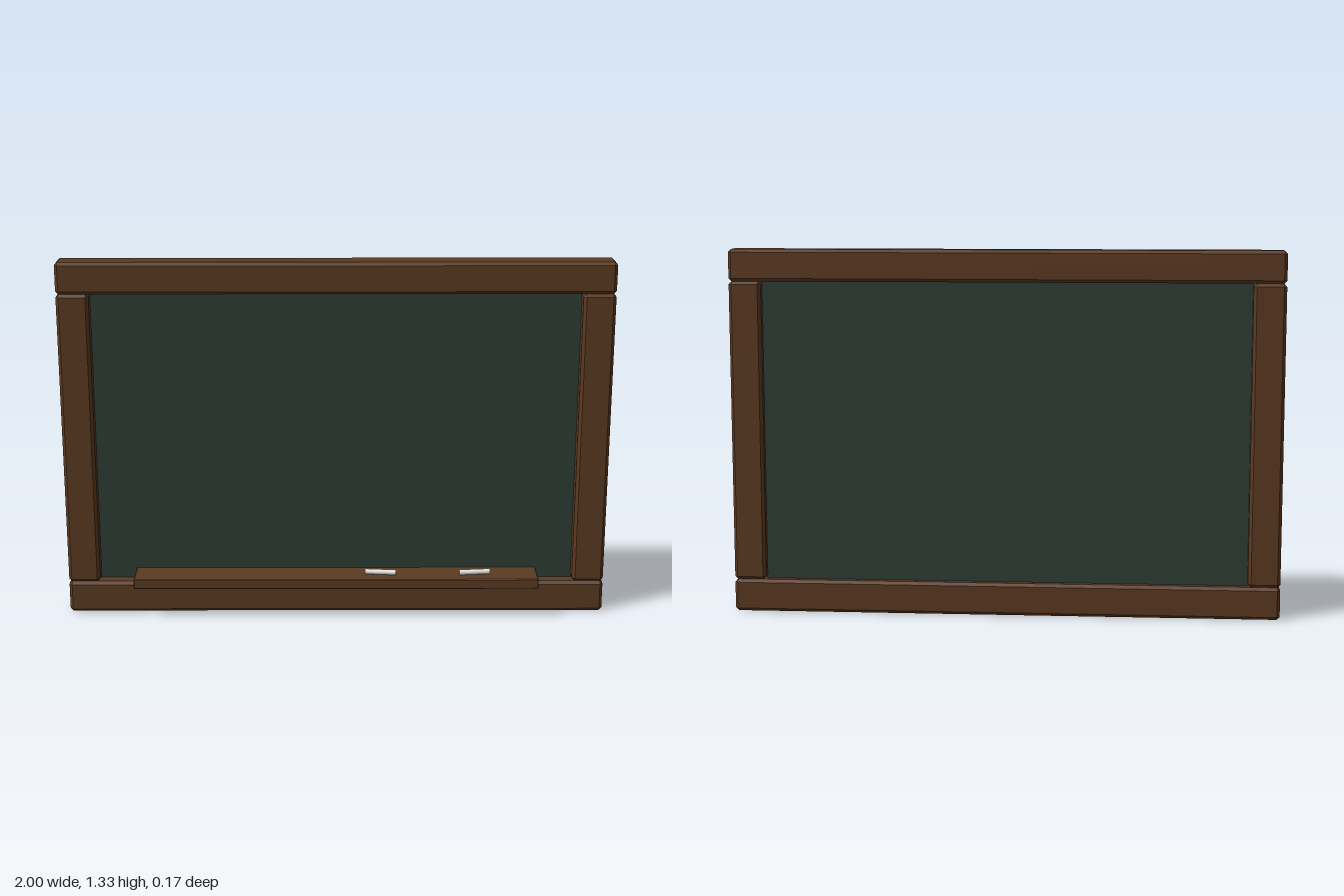
import * as THREE from 'three';
import { ConvexGeometry } from 'three/addons/geometries/ConvexGeometry.js';

const material = (name, color) => {
  const m = new THREE.MeshStandardMaterial({ color });
  m.name = name;
  return m;
};

// Box with chamfered edges, given by its min and max corners
function chamferBox(min, max, c) {
  const half = min.map((v, i) => (max[i] - v) / 2);
  const points = [];
  for (const sx of [-1, 1]) for (const sy of [-1, 1]) for (const sz of [-1, 1]) {
    for (let full = 0; full < 3; full++) {
      const p = [sx, sy, sz].map((s, i) => s * (half[i] - (i === full ? 0 : c)));
      points.push(new THREE.Vector3(...p));
    }
  }
  const g = new ConvexGeometry(points);
  g.translate(...min.map((v, i) => (v + max[i]) / 2));
  return g;
}

export function createModel() {
  const group = new THREE.Group();
  const wood = material('brown wood', 0x5c3a21);
  const slate = material('green slate', 0x2f3d36);
  const white = material('white chalk', 0xe8e8e4);

  const add = (name, geometry, mat) => {
    const mesh = new THREE.Mesh(geometry, mat);
    mesh.name = name;
    group.add(mesh);
    return mesh;
  };

  const back = -0.086, front = 0.012, bevel = 0.011;

  // Frame: two long rails with two stiles between them
  add('bottomRail', chamferBox([-1, 0, back], [1, 0.119, front], bevel), wood);
  add('topRail', chamferBox([-1, 1.218, back], [1, 1.334, front], bevel), wood);
  add('rightStile', chamferBox([-1, 0.119, back], [-0.883, 1.218, front], bevel), wood);
  add('leftStile', chamferBox([0.883, 0.119, back], [1, 1.218, front], bevel), wood);

  // Thin writing surface set into the middle of the frame
  const board = add('board', new THREE.BoxGeometry(1.77, 1.104, 0.012), slate);
  board.position.set(0, 0.6685, -0.046);

  // Chalk tray
  add('tray', chamferBox([-0.75, 0.12, -0.04], [0.75, 0.158, 0.086], 0.003), wood);

  // Two sticks of chalk lying at slight angles
  for (const [name, x, turn] of [['rightChalk', 0.165, -0.1], ['leftChalk', 0.515, 0.1]]) {
    const g = new THREE.CylinderGeometry(0.01, 0.01, 0.115, 12);
    g.rotateZ(Math.PI / 2);
    const chalk = add(name, g, white);
    chalk.position.set(x, 0.169, 0.036);
    chalk.rotation.y = turn;
  }
  return group;
}
